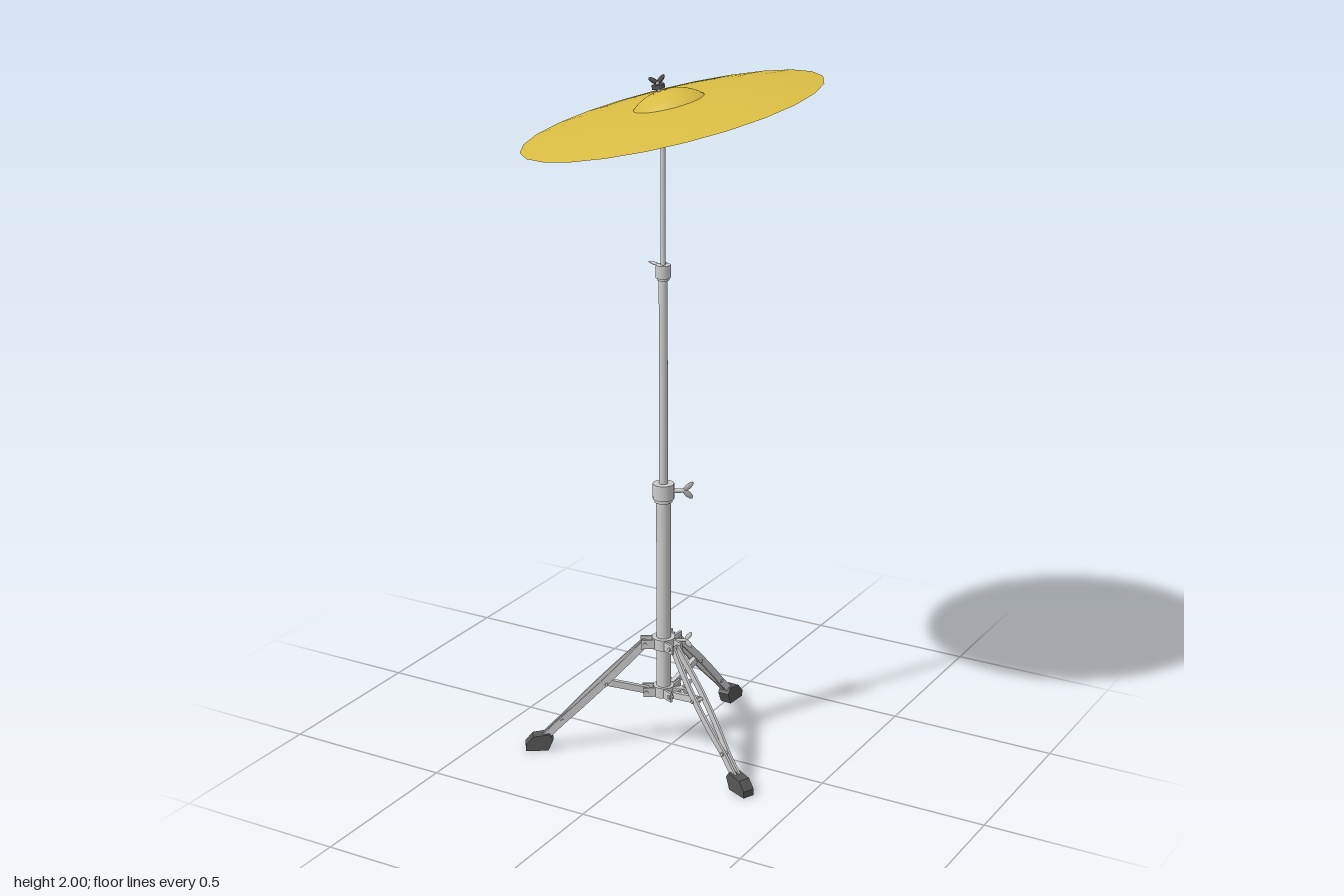
import * as THREE from 'three';
import { toCreasedNormals } from 'three/addons/utils/BufferGeometryUtils.js';

const V = (x, y, z) => new THREE.Vector3(x, y, z);
const UP = V(0, 1, 0);
const PX = -0.02, PZ = 0.012; // axis of the pole

export function createModel() {
  const model = new THREE.Group();
  const chrome = new THREE.MeshStandardMaterial({ color: 0xcccccc });
  const rubber = new THREE.MeshStandardMaterial({ color: 0x555555 });
  const brass = new THREE.MeshStandardMaterial({ color: 0xd6ba42, side: THREE.DoubleSide });

  function add(parent, name, geometry, material = chrome) {
    const mesh = new THREE.Mesh(geometry, material);
    mesh.name = name;
    parent.add(mesh);
    return mesh;
  }

  // Cylinder between two points
  function rod(parent, name, a, b, r, material = chrome, sides = 20) {
    const d = b.clone().sub(a);
    const mesh = add(parent, name, new THREE.CylinderGeometry(r, r, d.length(), sides), material);
    mesh.position.copy(a).addScaledVector(d, 0.5);
    mesh.quaternion.setFromUnitVectors(UP, d.normalize());
  }

  // Upright piece on the pole axis
  const onPole = (name, y0, y1, r) => rod(model, name, V(PX, y0, PZ), V(PX, y1, PZ), r, chrome, 24);

  // Screw with two rounded wings, pointing along dir
  function wingScrew(name, pos, dir, length, roll = 0, size = 1, material = chrome) {
    const g = new THREE.Group();
    g.name = name;
    rod(g, 'screwShaft', V(0, 0, 0), V(0, length, 0), 0.005 * size, material, 10);
    for (const s of [-1, 1]) {
      const wing = add(g, 'screwWing', new THREE.SphereGeometry(1, 12, 8), material);
      wing.scale.set(0.007 * size, 0.016 * size, 0.003 * size);
      wing.position.set(s * 0.01 * size, length + 0.007 * size, 0);
      wing.rotation.z = -s * 0.85;
    }
    g.position.copy(pos);
    g.quaternion.setFromUnitVectors(UP, dir.clone().normalize());
    g.rotateY(roll);
    model.add(g);
  }

  // Telescoping pole and its clamps
  onPole('lowerTube', 0.16, 0.8, 0.021);
  onPole('middleTube', 0.8, 1.45, 0.0125);
  onPole('upperRod', 1.44, 1.9, 0.007);
  onPole('lowerClamp', 0.782, 0.828, 0.031);
  onPole('lowerClampLip', 0.772, 0.782, 0.026);
  onPole('upperClamp', 1.437, 1.474, 0.021);
  onPole('upperClampLip', 1.43, 1.437, 0.017);
  wingScrew('lowerClampScrew', V(PX, 0.803, PZ), V(0.8, 0, -0.6), 0.062, 0.9, 1.3);
  wingScrew('upperClampScrew', V(PX, 1.455, PZ), V(-0.68, 0.15, -0.72), 0.045, 0.9, 1.2);

  // Tripod hubs
  onPole('upperHub', 0.316, 0.35, 0.034);
  onPole('lowerHub', 0.163, 0.195, 0.031);
  wingScrew('upperHubScrew', V(PX, 0.338, PZ), V(0.85, 0, -0.5), 0.065, 0.3);
  wingScrew('lowerHubScrew', V(PX, 0.18, PZ), V(0.78, 0, -0.62), 0.06, 0.9, 1.3);

  // One leg, built along local +x with y up
  function makeLeg() {
    const leg = new THREE.Group();
    leg.name = 'leg';
    const x0 = 0.055, y0 = 0.333, x1 = 0.365, y1 = 0.028;
    const length = Math.hypot(x1 - x0, y1 - y0);

    // Two flat strips that bow apart and meet above the foot
    for (const s of [-1, 1]) {
      const geo = new THREE.BoxGeometry(length, 0.022, 0.007, 20, 1, 1);
      geo.translate(length / 2, 0, 0);
      const p = geo.attributes.position;
      for (let i = 0; i < p.count; i++) {
        const t = THREE.MathUtils.clamp(p.getX(i) / length / 0.8, 0, 1);
        p.setZ(i, p.getZ(i) + s * (0.007 + 0.01 * Math.sin(Math.PI * t)));
      }
      geo.computeVertexNormals();
      const strip = add(leg, 'legStrip', geo);
      strip.position.set(x0, y0, 0);
      strip.rotation.z = Math.atan2(y1 - y0, x1 - x0);
    }

    // Hub brackets with pivot pins
    for (const [y, xc, w] of [[0.333, 0.046, 0.042], [0.179, 0.043, 0.036]]) {
      for (const s of [-1, 1]) {
        const cheek = add(leg, 'hubBracket', new THREE.BoxGeometry(w, 0.028, 0.007));
        cheek.position.set(xc, y, s * 0.016);
      }
      rod(leg, 'pivotPin', V(xc + 0.01, y, -0.023), V(xc + 0.01, y, 0.023), 0.006, chrome, 12);
    }

    // Brace from the lower hub to the leg
    const bx = 0.17, by = 0.21;
    const brace = add(leg, 'brace', new THREE.BoxGeometry(Math.hypot(bx - 0.045, by - 0.179), 0.02, 0.014));
    brace.position.set((bx + 0.045) / 2, (by + 0.179) / 2, 0);
    brace.rotation.z = Math.atan2(by - 0.179, bx - 0.045);
    rod(leg, 'bracePin', V(bx, by, -0.025), V(bx, by, 0.025), 0.005, chrome, 12);
    rod(leg, 'legRivet', V(0.3, 0.092, -0.014), V(0.3, 0.092, 0.014), 0.006, chrome, 12);

    // Rubber foot
    const outline = [[0.343, 0], [0.41, 0], [0.41, 0.02], [0.388, 0.045], [0.34, 0.052], [0.328, 0.035]];
    const shape = new THREE.Shape(outline.map(([x, y]) => new THREE.Vector2(x, y)));
    const foot = new THREE.ExtrudeGeometry(shape, { depth: 0.036, bevelEnabled: false });
    foot.translate(0, 0, -0.018);
    add(leg, 'rubberFoot', foot, rubber);
    return leg;
  }
  for (const degrees of [146, 24, -86]) {
    const leg = makeLeg();
    leg.position.set(PX, 0, PZ);
    leg.rotation.y = -THREE.MathUtils.degToRad(degrees);
    model.add(leg);
  }

  // Tilter joint and the slanted post through the cymbal
  const joint = V(PX, 1.905, PZ);
  const tip = V(-0.034, 1.985, 0.018);
  const along = (t) => joint.clone().lerp(tip, t);
  rod(model, 'tilterDisc', V(PX - 0.014, 1.905, PZ), V(PX + 0.014, 1.905, PZ), 0.021, chrome, 24);
  rod(model, 'tilterNeck', V(PX, 1.875, PZ), V(PX, 1.9, PZ), 0.011);
  wingScrew('tilterScrew', joint, V(0.85, -0.3, -0.5), 0.032, 0.6);
  rod(model, 'tilterPost', joint, tip, 0.005, chrome, 12);
  rod(model, 'lowerFelt', along(0.45), along(0.62), 0.018, rubber);
  rod(model, 'upperFelt', along(0.76), along(0.9), 0.018, rubber);
  wingScrew('topWingNut', along(0.85), tip.clone().sub(joint), 0.009, 0.7, 1, rubber);

  // Cymbal: faceted rim, shallow bow and a round bell
  const cymbal = new THREE.Group();
  cymbal.name = 'cymbal';
  const lathe = (points, sides, phase) => toCreasedNormals(new THREE.LatheGeometry(
    new THREE.SplineCurve(points.map(([x, y]) => new THREE.Vector2(x, y))).getPoints(14), sides, phase), 0.6);
  add(cymbal, 'cymbalBow', lathe([[0.425, 0], [0.32, 0.016], [0.2, 0.028], [0.096, 0.034]], 24, 0.095), brass);
  add(cymbal, 'cymbalBell', lathe([[0.1, 0.033], [0.08, 0.048], [0.045, 0.064], [0.004, 0.07]], 48, 0), brass);
  cymbal.position.set(0, 1.895, 0);
  cymbal.quaternion.setFromUnitVectors(UP, V(-0.21, 1, 0.11).normalize());
  model.add(cymbal);

  return model;
}
